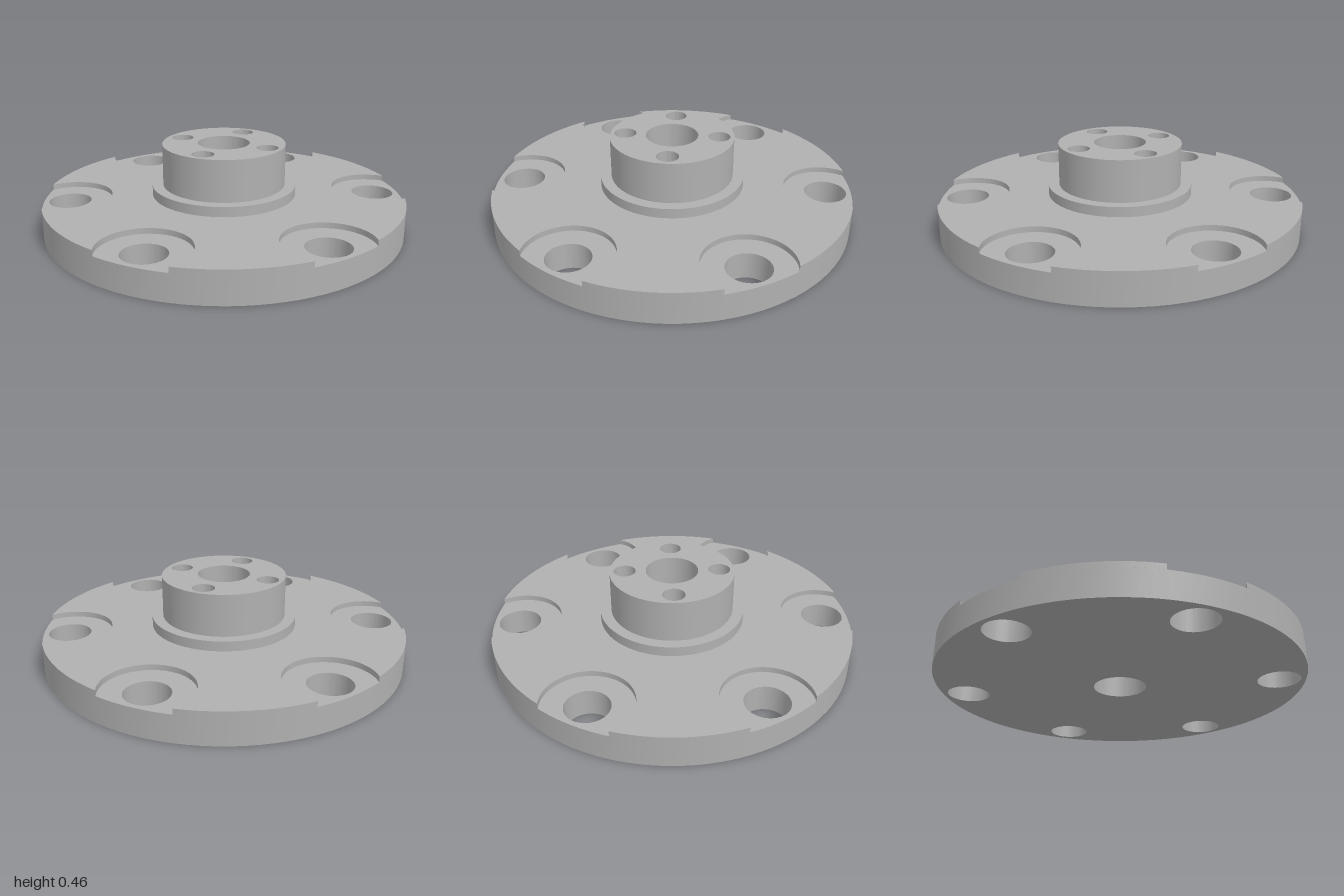
import * as THREE from 'three';
import { mergeGeometries, toCreasedNormals } from 'three/addons/utils/BufferGeometryUtils.js';

const TAU = Math.PI * 2;
const RIM = 1, PLATE_TOP = 0.175, BORE_FLOOR = 0.145;
const BOLT_DIST = 0.858, BOLT_R = 0.115, BORE_R = 0.233;
const COLLAR_R = 0.4, COLLAR_TOP = 0.23, HUB_R = 0.34, HUB_TOP = 0.46, SHAFT_R = 0.143;
const PIN_DIST = 0.258, PIN_R = 0.06, PIN_FLOOR = 0.26;

// Where each counterbore circle crosses the rim
const crossD = (RIM ** 2 + BOLT_DIST ** 2 - BORE_R ** 2) / (2 * BOLT_DIST);
const crossW = Math.sqrt(RIM ** 2 - crossD ** 2);
const rimAngle = Math.atan2(crossW, crossD);
const boreAngle = Math.atan2(crossW, crossD - BOLT_DIST);

const ring = (n, dist, start) => Array.from({ length: n }, (_, i) => {
  const t = start + (i * TAU) / n;
  return { t, x: dist * Math.cos(t), y: dist * Math.sin(t) };
});
const bolts = ring(6, BOLT_DIST, Math.PI / 6);
const pins = ring(4, PIN_DIST, 0);

const circle = (r, x = 0, y = 0) => new THREE.Shape().absarc(x, y, r, 0, TAU, false);

// Horizontal face with holes, facing up or down
function face(shape, holes, y, up = true) {
  shape.holes = holes;
  const g = new THREE.ShapeGeometry(shape, 48).toNonIndexed();
  g.deleteAttribute('uv');
  g.deleteAttribute('normal');
  g.rotateX(-Math.PI / 2).translate(0, y, 0);
  if (!up) {
    const p = g.attributes.position;
    for (let i = 0; i < p.count; i += 3) {
      const a = new THREE.Vector3().fromBufferAttribute(p, i);
      const b = new THREE.Vector3().fromBufferAttribute(p, i + 1);
      p.setXYZ(i, b.x, b.y, b.z);
      p.setXYZ(i + 1, a.x, a.y, a.z);
    }
  }
  return g;
}

// Vertical wall along an outline, facing outwards or into a hole
function wall(shape, y0, y1, inward = false) {
  const pts = shape.getPoints(48);
  if (inward) pts.reverse();
  const v = [];
  pts.forEach((a, i) => {
    const b = pts[(i + 1) % pts.length];
    if (a.distanceTo(b) < 1e-5) return;
    v.push(a.x, y0, -a.y, b.x, y0, -b.y, b.x, y1, -b.y);
    v.push(a.x, y0, -a.y, b.x, y1, -b.y, a.x, y1, -a.y);
  });
  return new THREE.BufferGeometry().setAttribute('position', new THREE.Float32BufferAttribute(v, 3));
}

// Plate outline bitten by the six counterbores
function scallopedOutline() {
  const s = new THREE.Shape();
  for (const { t, x, y } of bolts) {
    s.absarc(0, 0, RIM, t - TAU / 6 + rimAngle, t - rimAngle, false);
    s.absarc(x, y, BORE_R, t - boreAngle, t + boreAngle, true);
  }
  return s;
}

// Floor of one counterbore, cut off by the rim
function boreFloor({ t, x, y }) {
  const s = new THREE.Shape();
  s.absarc(x, y, BORE_R, t + boreAngle, t - boreAngle + TAU, false);
  s.absarc(0, 0, RIM, t - rimAngle, t + rimAngle, false);
  return face(s, [circle(BOLT_R, x, y)], BORE_FLOOR);
}

export function createModel() {
  const steel = new THREE.MeshStandardMaterial({ color: 0xb0b0b0 });
  steel.name = 'grey steel';
  const group = new THREE.Group();
  group.name = 'flange';
  const add = (name, parts) => {
    const mesh = new THREE.Mesh(toCreasedNormals(mergeGeometries(parts), 0.5), steel);
    mesh.name = name;
    group.add(mesh);
  };
  const boltHoles = bolts.map(({ x, y }) => circle(BOLT_R, x, y));
  const pinHoles = pins.map(({ x, y }) => circle(PIN_R, x, y));

  // Round plate with counterbored bolt holes
  add('plate', [
    face(circle(RIM), [circle(SHAFT_R), ...boltHoles], 0, false),
    wall(circle(RIM), 0, BORE_FLOOR),
    wall(scallopedOutline(), BORE_FLOOR, PLATE_TOP),
    face(scallopedOutline(), [circle(COLLAR_R)], PLATE_TOP),
    ...bolts.map(boreFloor),
    ...boltHoles.map((h) => wall(h, 0, BORE_FLOOR, true)),
  ]);

  // Low collar around the hub
  add('collar', [
    wall(circle(COLLAR_R), PLATE_TOP, COLLAR_TOP),
    face(circle(COLLAR_R), [circle(HUB_R)], COLLAR_TOP),
  ]);

  // Hub with four blind pin holes
  add('hub', [
    wall(circle(HUB_R), COLLAR_TOP, HUB_TOP),
    face(circle(HUB_R), [circle(SHAFT_R), ...pinHoles], HUB_TOP),
    ...pinHoles.map((h) => wall(h, PIN_FLOOR, HUB_TOP, true)),
    ...pins.map(({ x, y }) => face(circle(PIN_R, x, y), [], PIN_FLOOR)),
  ]);

  // Central bore running right through
  add('shaftBore', [wall(circle(SHAFT_R), 0, HUB_TOP, true)]);

  return group;
}
